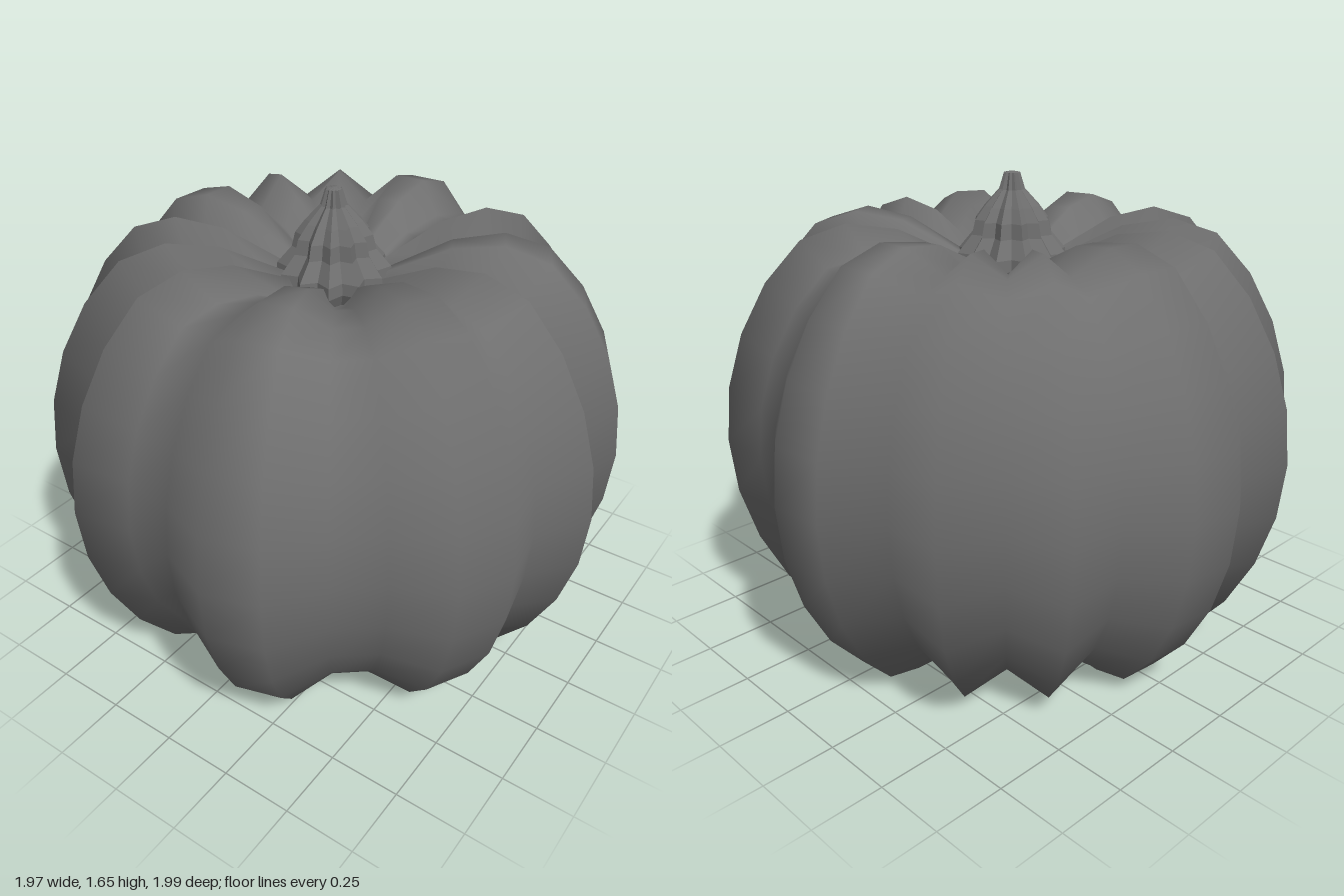
import * as THREE from 'three';
import { mergeVertices } from 'three/addons/utils/BufferGeometryUtils.js';

// Skin of rings stacked upwards; pointAt(ring, k) gives [x, y, z], k runs from back to +x to front
function loft(rings, n, pointAt) {
  const positions = [], index = [];
  for (let j = 0; j < rings; j++)
    for (let k = 0; k < n; k++) positions.push(...pointAt(j, k));
  for (let j = 0; j < rings - 1; j++)
    for (let k = 0; k < n; k++) {
      const a = j * n + k, b = j * n + (k + 1) % n;
      index.push(a, a + n, b, b, a + n, b + n);
    }
  const geometry = new THREE.BufferGeometry();
  geometry.setAttribute('position', new THREE.Float32BufferAttribute(positions, 3));
  geometry.setIndex(index);
  const merged = mergeVertices(geometry, 1e-5);
  merged.computeVertexNormals();
  return merged;
}

export function createModel() {
  const group = new THREE.Group();
  group.name = 'pumpkin';
  const color = 0x6f6f6f;

  // Body: a sphere with dented poles; uneven ribs, 1 = ridge, 0 = groove
  const ribs = '11010101100101101011001100101010';
  const heights = [0, 0.195, 0.383, 0.556, 0.695, 0.745, 0.72, 0.63, 0.53];
  const body = new THREE.Mesh(
    loft(17, 32, (j, k) => {
      const lat = j - 8, step = Math.abs(lat);
      const ridge = ribs[k] === '1';
      const r = step === 8 ? 0 : (ridge ? 0.997 : 0.9) * Math.cos(lat * Math.PI / 16);
      // grooves sink a little deeper around the dents and close up at the poles
      const sy = ridge || step === 8 ? 1 : step > 4 ? 0.88 : 0.9;
      const a = k * Math.PI / 16;
      return [r * Math.sin(a) - 0.01, 0.748 + Math.sign(lat) * heights[step] * sy, -r * Math.cos(a) - 0.005];
    }),
    new THREE.MeshStandardMaterial({ color })
  );
  body.name = 'body';
  group.add(body);

  // Stem: deeply fluted, steep flared foot, full bulb and a narrow blunt tip
  const profile = [[0.16, 1.27], [0.195, 1.34], [0.19, 1.38], [0.14, 1.44], [0.128, 1.49], [0.095, 1.535], [0.045, 1.59], [0.028, 1.645], [0, 1.65]];
  const stem = new THREE.Mesh(
    loft(profile.length, 24, (j, k) => {
      const [radius, y] = profile[j];
      const r = radius * (k % 2 ? 0.8 : 1);
      const a = k * Math.PI / 12;
      return [r * Math.sin(a) - 0.02, y, -r * Math.cos(a) - 0.005];
    }),
    new THREE.MeshStandardMaterial({ color, flatShading: true })
  );
  stem.name = 'stem';
  group.add(stem);

  return group;
}
